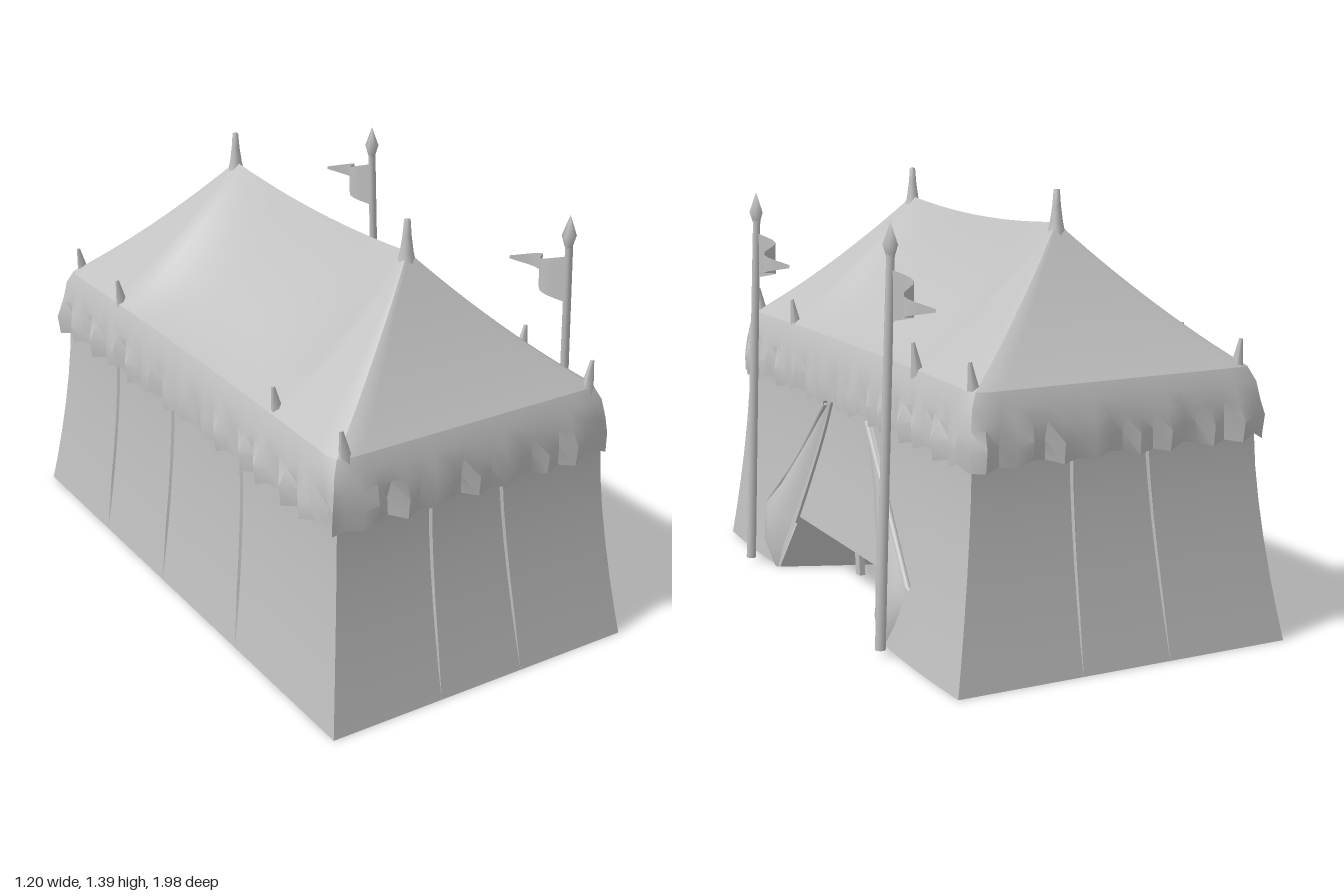
import * as THREE from 'three';
import { mergeVertices, toCreasedNormals } from 'three/addons/utils/BufferGeometryUtils.js';

const canvas = new THREE.MeshStandardMaterial({ color: 0xc0c0c0, side: THREE.DoubleSide });
canvas.name = 'greyCanvas';
const CX = -0.045; // centre line of the tent
const EAVE = { hx: 0.482, hz: 0.885, y: 0.87 };
const mix = THREE.MathUtils.lerp;

// Surface through rows of points
function surface(rows, crease = 0.7) {
  const n = rows[0].length, index = [];
  for (let r = 0; r < rows.length - 1; r++) {
    for (let c = 0; c < n - 1; c++) {
      const a = r * n + c, b = a + n;
      index.push(a, a + 1, b, a + 1, b + 1, b);
    }
  }
  const g = new THREE.BufferGeometry();
  g.setAttribute('position', new THREE.Float32BufferAttribute(rows.flat(2), 3));
  g.setIndex(index);
  return toCreasedNormals(mergeVertices(g), crease);
}

// Flat polygon given as a fan of corners
function fan(points) {
  const tri = [];
  for (let i = 1; i < points.length - 1; i++) tri.push(points[0], points[i], points[i + 1]);
  const g = new THREE.BufferGeometry();
  g.setAttribute('position', new THREE.Float32BufferAttribute(tri.flat(2), 3));
  g.computeVertexNormals();
  return g;
}

// Closed rectangular loop with slack long sides; wave(i) gives [outward, up] offsets
function ring(hx, hz, y, wave = () => [0, 0]) {
  const pts = [], nx = 20, nz = 36;
  const corners = [[1, 1], [-1, 1], [-1, -1], [1, -1]];
  let i = 0;
  corners.forEach(([sx, sz], k) => {
    const [ex, ez] = corners[(k + 1) % 4];
    const n = k % 2 ? nz : nx;
    for (let j = 0; j < n; j++, i++) {
      const t = j / n, [out, up] = j ? wave(i) : [-0.012, 0];
      const u = mix(sz, ez, t);
      let x = hx * mix(sx, ex, t), z = hz * u;
      if (k % 2 || j === 0) x += out * sx;
      if (!(k % 2) || j === 0) z += out * sz;
      x -= (x > 0 ? 0.025 : -0.012) * (1 - u * u);
      pts.push([CX + x, y + up, z]);
    }
  });
  pts.push([...pts[0]]);
  return pts;
}

// Wall outline, flaring towards the ground
const flare = y => Math.pow(Math.max(0, 0.66 - y) / 0.65, 1.5);
const leftX = y => -0.53 - 0.068 * flare(y);
const endZ = y => 0.898 + 0.092 * flare(y);
const doorX = (y, z) => 0.45 + (0.07 - 0.02 * z) * flare(y)
  - 0.022 * (1 - flare(y)) * Math.max(0, 1 - (z / 0.9) ** 2);

// Doorway edge: s is +1 towards the front, -1 towards the back
const doorZ = (y, s) => 0.015 + s * (0.46 - 0.3 * Math.min(1, y / 0.66));

export function createModel() {
  const model = new THREE.Group();
  const add = (name, geometry, parent = model) => {
    const m = new THREE.Mesh(geometry, canvas);
    m.name = name;
    parent.add(m);
    return m;
  };
  const levels = [0.01, 0.1, 0.21, 0.33, 0.45, 0.56, 0.66, 0.76];
  const steps = Array.from({ length: 9 }, (_, i) => i / 8);

  // Canvas walls
  const wall = (name, point) => add(name, surface(levels.map(y => steps.map(t => point(y, t)))));
  wall('frontWall', (y, t) => [mix(leftX(y), doorX(y, endZ(y)), t), y, endZ(y)]);
  wall('backWall', (y, t) => [mix(doorX(y, -endZ(y)), leftX(y), t), y, -endZ(y)]);
  wall('rightWall', (y, t) => [leftX(y), y, mix(-endZ(y), endZ(y), t)]);
  for (const s of [1, -1]) {
    wall(s > 0 ? 'doorWallFront' : 'doorWallBack', (y, t) => {
      const z = mix(s * endZ(y), doorZ(y, s), t);
      return [doorX(y, z) + 0.008 * Math.sin(t * Math.PI), y, z];
    });
  }

  // Inner curtain closing the doorway above the low recess
  const inner = (y, s) => [doorX(y, doorZ(y, s)) - 0.01, y, doorZ(y, s)];
  add('doorCurtain', surface(levels.slice(2).map(y => [inner(y, 1), inner(y, -1)])));

  // Recess running down to the far wall, and the floor around it
  const apex = [-0.59, 0.01, 0.01];
  const sill = s => [doorX(0.01, doorZ(0.01, s)), 0.01, doorZ(0.01, s)];
  add('recessCeiling', fan([inner(0.21, 1), inner(0.21, -1), apex]));
  for (const s of [1, -1]) {
    const z = s * endZ(0.01);
    add('recessSide', fan([apex, inner(0.21, s), sill(s)]));
    add('floor', fan([apex, sill(s), [doorX(0.01, z), 0.01, z], [leftX(0.01), 0.01, z]]));
  }

  // Short legs under the recess ceiling
  for (const x of [0.11, 0.32]) {
    for (const z of [0.2, -0.14]) {
      const leg = add('leg', new THREE.BoxGeometry(0.02, 0.15, 0.035));
      leg.position.set(x, 0.105, z);
      leg.rotation.x = z > 0 ? 0.08 : -0.08;
    }
  }

  // Drawn-back door flaps: height, inner z, outer z, bulge
  const flapRows = [[0.65, 0.15, 0.2, 0.01], [0.45, 0.25, 0.37, 0.02], [0.3, 0.32, 0.5, 0.03],
    [0.21, 0.36, 0.61, 0.04], [0.1, 0.41, 0.57, 0.045], [0.01, 0.455, 0.49, 0.005]];
  for (const s of [1, -1]) {
    add('doorFlap', surface(flapRows.map(([y, zi, zo, b]) => [0, 0.25, 0.5, 0.75, 1].map(t => {
      const z = 0.015 + s * mix(zi, zo, t);
      return [doorX(y, z) + 0.005 + b * Math.sin(Math.PI * (0.1 + 0.75 * t)), y, z];
    }))));
    const path = new THREE.CatmullRomCurve3([[0.65, 0.17], [0.42, 0.38], [0.22, 0.6]].map(([y, z]) =>
      new THREE.Vector3(doorX(y, s * z) + 0.015, y, 0.015 + s * z)));
    add('flapRoll', new THREE.TubeGeometry(path, 8, 0.011, 6));
  }

  // Shallow pleats on the walls, fading out at the ground
  const pleat = (top, bottom, place) => add('wallPleat', surface(
    levels.slice(0, 7).map(y => [-1, 0, 1].map(k => {
      const a = mix(bottom, top, y / 0.66) + k * 0.01 * (0.2 + y);
      return place(a, y, k ? -0.001 : 0.008 * Math.min(1, y / 0.2));
    })), 0.5));
  for (const [t, b] of [[-0.2, -0.205], [0.06, 0.1]]) {
    pleat(t, b, (a, y, o) => [a, y, endZ(y) + o]);
    pleat(-t - 0.08, -b - 0.08, (a, y, o) => [a, y, -endZ(y) - o]);
  }
  for (const [t, b] of [[-0.5, -0.52], [-0.1, -0.1], [0.35, 0.4]]) {
    pleat(t, b, (a, y, o) => [leftX(y) - o, y, a]);
  }

  // Roof sweeping up to a sagging ridge, the long sides slack between the peaks
  const eave = ring(EAVE.hx, EAVE.hz, EAVE.y);
  add('roof', surface(Array.from({ length: 13 }, (_, r) => {
    const s = r / 12;
    return eave.map(([x, y, z]) => {
      const rz = THREE.MathUtils.clamp(z * 1.05, -0.5, 0.54);
      const u = (rz - 0.02) / 0.52;
      const ridgeY = 1.3 - 0.025 * (1 - u * u);
      const slack = (1 - u ** 4) * (0.015 * (1 - s) + 0.2 * s * (1 - s));
      return [mix(x, -0.05, s), mix(y, ridgeY, s - 0.2 * s * (1 - s)) - slack, mix(z, rz, s)];
    });
  }), 0.5));

  // Valance band with a ruffled hem
  const ruffle = (amount, lift) => i => [
    amount * ([1, -0.9, 0.4, 0.9, -0.5][i % 5] + 0.4 * Math.sin(i * 2.3)),
    lift * [0, 0.7, 1, 0.1, 0.5][i % 5]];
  add('valance', surface([
    ring(EAVE.hx, EAVE.hz, EAVE.y),
    ring(0.503, 0.905, 0.825),
    ring(0.513, 0.917, 0.765, ruffle(0.003, 0.015)),
    ring(0.52, 0.922, 0.71, ruffle(0.02, 0.012)),
    ring(0.52, 0.92, 0.645, ruffle(0.014, 0.022)),
  ], 0.6));

  // Small pegs along the eaves
  const pegs = [[-0.49, 0.87], [0.41, 0.87], [-0.49, -0.86], [0.42, -0.845],
    [-0.5, 0.51], [0.41, 0.54], [-0.51, -0.51], [0.42, -0.47]];
  for (const [x, z] of pegs) {
    const peg = add('eavePeg', new THREE.CylinderGeometry(0.006, 0.024, 0.11, 5));
    peg.position.set(x, 0.9, z);
    peg.rotation.z = x < 0 ? 0.15 : -0.15;
  }

  // Ridge finials
  const finial = new THREE.LatheGeometry([[0.032, 1.25], [0.021, 1.3], [0.014, 1.35], [0.01, 1.4], [0, 1.4]]
    .map(([r, y]) => new THREE.Vector2(r, y)), 8);
  for (const z of [0.535, -0.5]) add('ridgeFinial', finial).position.set(-0.05, 0, z);

  // Leaning flagpoles with spear tips and wavy pennants
  for (const z of [0, -1.118]) {
    const flag = new THREE.Group();
    flag.name = 'flagpole';
    flag.position.z = z;
    model.add(flag);
    const foot = new THREE.Vector3(0.583, 0.03, 0.568), top = new THREE.Vector3(0.517, 1.25, 0.612);
    const dir = top.clone().sub(foot);
    const pole = add('pole', new THREE.CylinderGeometry(0.013, 0.017, dir.length(), 7), flag);
    pole.position.copy(foot).add(top).multiplyScalar(0.5);
    pole.quaternion.setFromUnitVectors(new THREE.Vector3(0, 1, 0), dir.normalize());
    const tip = add('spearTip', new THREE.LatheGeometry([[0.012, -0.03], [0.025, 0.01], [0, 0.08]]
      .map(([r, y]) => new THREE.Vector2(r, y)), 5), flag);
    tip.position.copy(top);
    const curve = new THREE.CatmullRomCurve3([[0.525, 0, 0.61], [0.485, 0, 0.52], [0.565, 0, 0.42], [0.51, 0, 0.325]]
      .map(p => new THREE.Vector3(...p)));
    const pts = curve.getPoints(12);
    add('pennant', surface([0, 0.5, 1].map(v => pts.map((p, i) =>
      [p.x, mix(mix(1.19, 1.105, i / 12), mix(1.03, 1.095, i / 12), v), p.z]))), flag);
  }
  return model;
}
